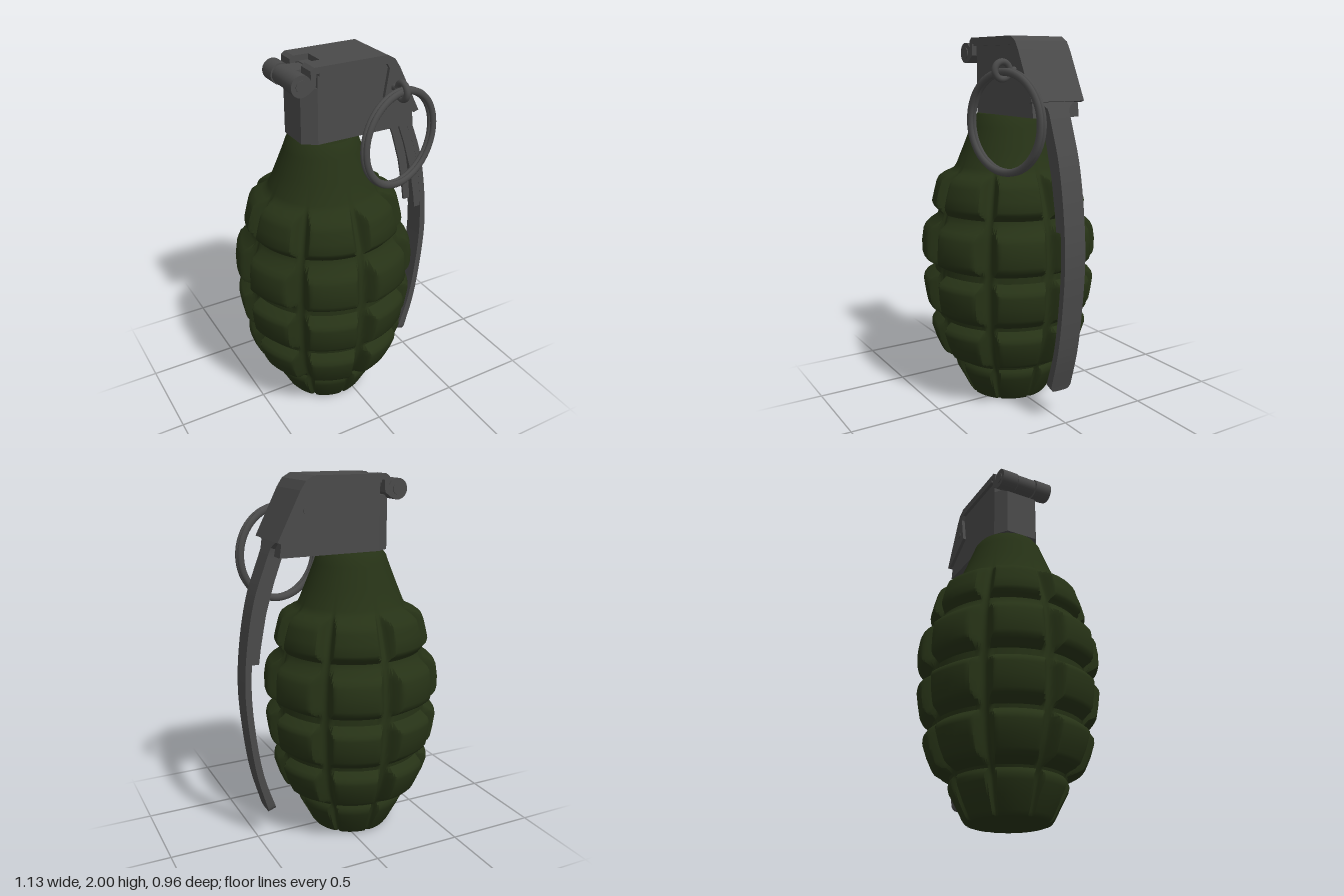
import * as THREE from 'three';
import { toCreasedNormals } from 'three/addons/utils/BufferGeometryUtils.js';

const AXIS = -0.083; // x of the body's axis
const green = new THREE.MeshStandardMaterial({ color: 0x263216 });
const steel = new THREE.MeshStandardMaterial({ color: 0x4a4a4a });

function part(name, geometry, material = steel) {
  const mesh = new THREE.Mesh(geometry, material);
  mesh.name = name;
  return mesh;
}

// Side profile in x/y, extruded from z0 to z1
function plate(name, points, z0, z1) {
  const shape = new THREE.Shape(points.map(([x, y]) => new THREE.Vector2(x, y)));
  const geo = new THREE.ExtrudeGeometry(shape, { depth: z1 - z0, bevelEnabled: false });
  return part(name, geo.translate(0, 0, z0));
}

// Cylinder along z
function rod(name, x, y, r, z0, z1) {
  const geo = new THREE.CylinderGeometry(r, r, z1 - z0, 32).rotateX(Math.PI / 2);
  const mesh = part(name, geo);
  mesh.position.set(x, y, (z0 + z1) / 2);
  return mesh;
}

// Segmented body: rows of [y, groove-floor radius, outer radius]
function bodyGeometry() {
  const rows = [
    [0, 0.195, 0.2], [0.006, 0.205, 0.218], [0.025, 0.213, 0.232], [0.09, 0.24, 0.265],
    [0.155, 0.262, 0.3], [0.18, 0.27, 0.306], [0.198, 0.278, 0.302], [0.212, 0.286, 0.294], [0.225, 0.293, 0.3],
    [0.25, 0.308, 0.358], [0.265, 0.315, 0.383], [0.28, 0.323, 0.393], [0.34, 0.35, 0.42],
    [0.405, 0.37, 0.441], [0.425, 0.375, 0.44], [0.443, 0.379, 0.428], [0.47, 0.386, 0.394], [0.49, 0.39, 0.398],
    [0.515, 0.394, 0.43], [0.53, 0.396, 0.45], [0.55, 0.399, 0.462], [0.61, 0.404, 0.473],
    [0.675, 0.408, 0.482], [0.692, 0.409, 0.479], [0.708, 0.41, 0.466], [0.738, 0.411, 0.416], [0.772, 0.411, 0.416],
    [0.802, 0.411, 0.466], [0.818, 0.411, 0.48], [0.84, 0.411, 0.486], [0.9, 0.409, 0.487],
    [0.96, 0.404, 0.478], [0.98, 0.402, 0.469], [1.0, 0.399, 0.45], [1.035, 0.391, 0.4], [1.065, 0.384, 0.39],
    [1.085, 0.378, 0.405], [1.1, 0.373, 0.42], [1.118, 0.367, 0.426], [1.17, 0.35, 0.414],
    [1.225, 0.33, 0.4], [1.25, 0.32, 0.388], [1.27, 0.312, 0.36], [1.286, 0.304, 0.325], [1.298, 0.297, 0.303],
    [1.32, 0.288, 0.288], [1.42, 0.247, 0.247], [1.53, 0.204, 0.204], [1.57, 0.19, 0.19], [1.6, 0.168, 0.168],
  ];
  // [degrees from the groove centre, rise above the groove floor]
  const half = [[0, 0], [1.5, 0.002], [2.7, 0.01], [4, 0.027], [6, 0.054], [7.2, 0.067], [8.6, 0.074], [10.5, 0.085], [16, 0.09]];
  const cell = [...half, [22.5, 0.09], ...half.slice(1).reverse().map(([a, h]) => [45 - a, h])];
  const ring = [];
  for (let s = 0; s < 8; s++) for (const [a, h] of cell) ring.push([THREE.MathUtils.degToRad(s * 45 + a), h]);
  const pos = [], index = [], n = ring.length;
  for (const [y, floor, outer] of rows) {
    for (const [a, h] of ring) {
      const r = Math.min(outer, floor + h);
      pos.push(r * Math.sin(a), y, r * Math.cos(a));
    }
  }
  for (let i = 0; i < rows.length - 1; i++) {
    for (let j = 0; j < n; j++) {
      const k = (j + 1) % n, a = i * n + j, b = i * n + k;
      index.push(a, b, b + n, a, b + n, a + n);
    }
  }
  // Closing discs
  const last = (rows.length - 1) * n, c = rows.length * n;
  pos.push(0, 0, 0, 0, 1.6, 0);
  for (let j = 0; j < n; j++) {
    const k = (j + 1) % n;
    index.push(c, k, j, c + 1, last + j, last + k);
  }
  const geo = new THREE.BufferGeometry();
  geo.setAttribute('position', new THREE.Float32BufferAttribute(pos, 3));
  geo.setIndex(index);
  return toCreasedNormals(geo, 0.7);
}

const curve = (pts) => new THREE.CatmullRomCurve3(pts.map(([x, y]) => new THREE.Vector3(x, y, 0)));

// Curved handle strip, flared at the top and rounded at the tip
function leverGeometry() {
  const outer = curve([[0.385, 1.69], [0.44, 1.55], [0.5, 1.38], [0.547, 1.13], [0.564, 0.89], [0.545, 0.62], [0.51, 0.39], [0.448, 0.165]]);
  const inner = curve([[0.355, 1.68], [0.41, 1.54], [0.468, 1.38], [0.513, 1.13], [0.529, 0.89], [0.51, 0.62], [0.472, 0.39], [0.405, 0.18]]);
  const N = 64, pos = [], index = [];
  for (let i = 0; i <= N; i++) {
    // Finer steps near the tip
    const t = 1 - Math.pow(1 - i / N, 1.5);
    const o = outer.getPoint(t), p = inner.getPoint(t);
    const tip = Math.max(0, (t - 0.98) / 0.02), top = Math.max(0, 1 - t / 0.06);
    const w = 0.032 + 0.03 * Math.sqrt(Math.max(0, 1 - tip * tip)) + 0.07 * top * top;
    pos.push(o.x, o.y, w, o.x, o.y, -w, p.x, p.y, -w, p.x, p.y, w);
  }
  for (let i = 0; i < N; i++) {
    for (let j = 0; j < 4; j++) {
      const a = i * 4 + j, b = i * 4 + (j + 1) % 4;
      index.push(a, a + 4, b, b, a + 4, b + 4);
    }
  }
  const e = N * 4;
  index.push(0, 1, 2, 0, 2, 3, e, e + 2, e + 1, e, e + 3, e + 2);
  const geo = new THREE.BufferGeometry();
  geo.setAttribute('position', new THREE.Float32BufferAttribute(pos, 3));
  geo.setIndex(index);
  return toCreasedNormals(geo, 0.6);
}

export function createModel() {
  const model = new THREE.Group();
  model.name = 'grenade';

  const body = part('body', bodyGeometry(), green);
  body.position.x = AXIS;
  model.add(body);

  // Fuse housing with a chamfered back end
  model.add(plate('fuseHousing', [[-0.18, 1.6], [0.385, 1.6], [0.375, 1.67], [0.24, 1.93], [0.2, 1.97], [-0.18, 1.97]], -0.138, 0.138));
  const end = new THREE.Shape([[-0.18, -0.138], [-0.18, 0.138], [-0.25, 0.09], [-0.25, -0.09]].map(([x, y]) => new THREE.Vector2(x, y)));
  const endGeo = new THREE.ExtrudeGeometry(end, { depth: 0.29, bevelEnabled: false }).rotateX(-Math.PI / 2);
  const housingEnd = part('housingEnd', endGeo);
  housingEnd.position.y = 1.6;
  model.add(housingEnd);

  // Hinge: centre knuckle on the housing, pin through it
  model.add(rod('hingeKnuckle', -0.275, 1.92, 0.05, -0.055, 0.055));
  model.add(plate('hingeBase', [[-0.275, 1.88], [-0.18, 1.85], [-0.18, 1.965], [-0.275, 1.968]], -0.055, 0.055));
  model.add(rod('hingePin', -0.275, 1.92, 0.03, -0.162, 0.162));

  // Lever cap: bent sheet over the housing
  model.add(plate('leverCap', [
    [-0.125, 2], [-0.125, 1.968], [0.19, 1.968], [0.225, 1.95], [0.25, 1.91], [0.372, 1.672],
    [0.402, 1.68], [0.275, 1.93], [0.245, 1.975], [0.2, 2],
  ], -0.157, 0.157));

  for (const s of [-1, 1]) {
    const span = (a, b) => (s > 0 ? [a, b] : [-b, -a]);
    // Cap side skirt with its pointed ear
    model.add(plate('capSide', [
      [-0.18, 1.99], [-0.18, 1.955], [0.2, 1.955], [0.215, 1.93], [0.19, 1.78], [0.375, 1.672],
      [0.4, 1.68], [0.275, 1.925], [0.2, 1.99],
    ], ...span(0.136, 0.157)));
    // Curled arms of the cap around the hinge pin
    model.add(plate('hingeArm', [
      [-0.125, 2], [-0.205, 2], [-0.225, 1.985], [-0.225, 1.935], [-0.26, 1.9], [-0.24, 1.875],
      [-0.2, 1.905], [-0.195, 1.968], [-0.125, 1.968],
    ], ...span(0.06, 0.157)));
    model.add(rod('hingeCurl', -0.275, 1.92, 0.055, ...span(0.06, 0.157)));
    // Stiffening flange along the upper handle
    model.add(plate('leverFlange', [
      [0.37, 1.68], [0.42, 1.54], [0.478, 1.38], [0.523, 1.13], [0.53, 1.04],
      [0.483, 1.04], [0.47, 1.13], [0.437, 1.3], [0.39, 1.46], [0.335, 1.61],
    ], ...span(0.047, 0.061)));
  }

  model.add(part('leverHandle', leverGeometry()));

  // Safety pin with its eye
  model.add(rod('safetyPin', 0.245, 1.83, 0.018, -0.163, 0.195));
  const eye = part('pinEye', new THREE.TorusGeometry(0.042, 0.017, 12, 32));
  eye.rotation.y = Math.PI / 2;
  eye.position.set(0.245, 1.83, 0.23);
  model.add(eye);

  // Split pull ring: two coils side by side
  const ring = new THREE.Group();
  ring.name = 'pullRing';
  for (const s of [-1, 1]) {
    const coil = part('ringCoil', new THREE.TorusGeometry(0.25, 0.019, 12, 64));
    coil.scale.z = 0.7;
    coil.position.z = s * 0.011;
    ring.add(coil);
  }
  ring.position.set(0.25, 1.573, 0.217);
  ring.rotation.y = 0.235;
  model.add(ring);

  return model;
}
